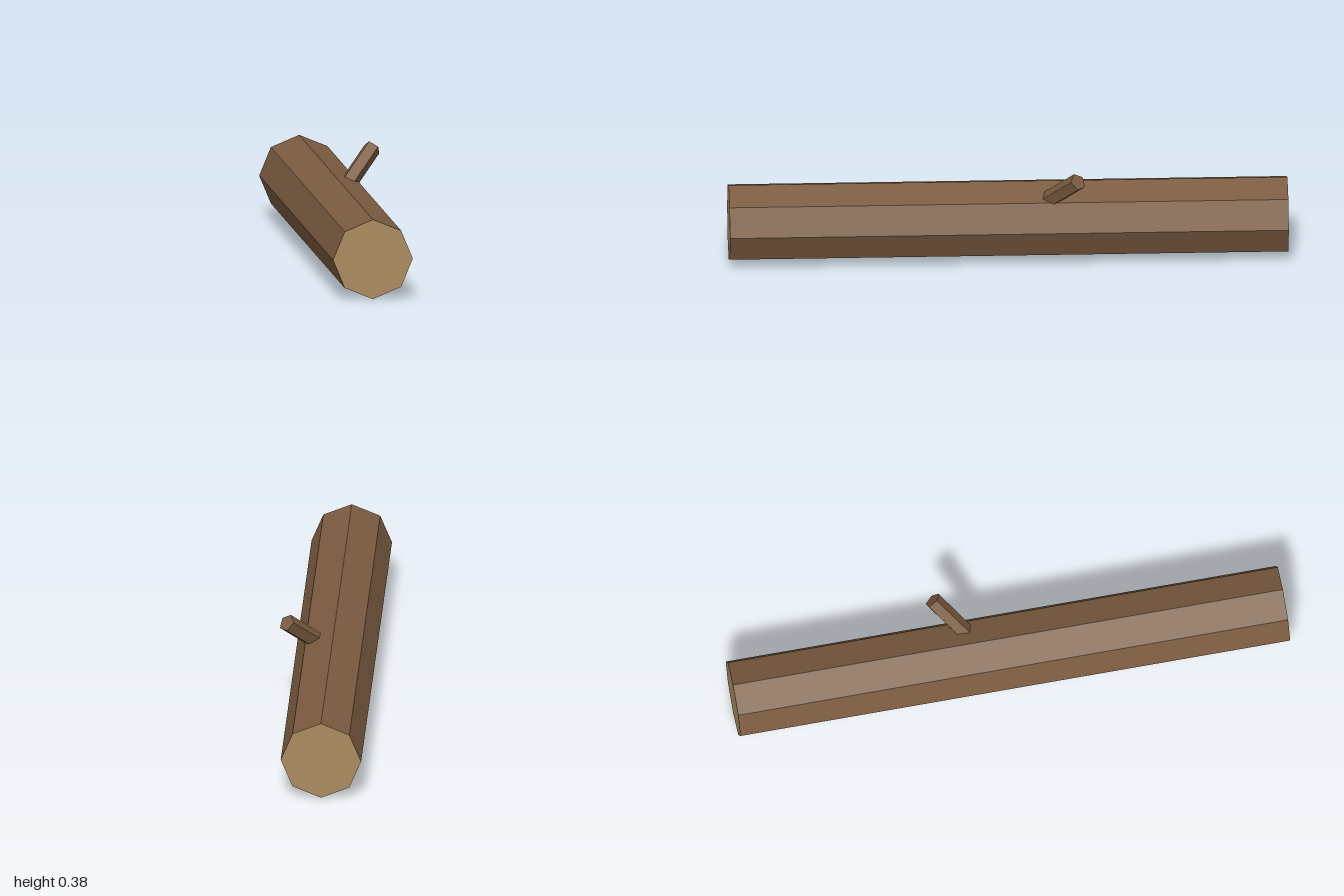
import * as THREE from 'three';

// Straight prism with faceted normals
function prism(radius, length, sides) {
  const g = new THREE.CylinderGeometry(radius, radius, length, sides).toNonIndexed();
  g.computeVertexNormals();
  return g;
}

export function createModel() {
  const bark = new THREE.MeshStandardMaterial({ color: 0x7b5c40 });
  bark.name = 'bark';
  const cutWood = new THREE.MeshStandardMaterial({ color: 0xab8c5f });
  cutWood.name = 'cutWood';

  const model = new THREE.Group();
  model.name = 'log';

  // Eight-sided trunk lying along z, with pale cut ends
  const trunk = new THREE.Mesh(prism(0.144, 2, 8), [bark, cutWood, cutWood]);
  trunk.name = 'trunk';
  trunk.rotation.x = Math.PI / 2;
  trunk.position.set(-0.022, 0.144, 0);
  model.add(trunk);

  // Five-sided branch stub, leaning up, left and back; its base is inside the trunk
  const length = 0.24;
  const along = new THREE.Vector3(0.558, 0.614, -0.558).normalize();
  const corner = new THREE.Vector3(0.553, 0.243, 0.796);
  corner.addScaledVector(along, -corner.dot(along)).normalize();
  const side = new THREE.Vector3().crossVectors(along, corner);
  const branch = new THREE.Mesh(prism(0.032, length, 5), bark);
  branch.name = 'branch';
  branch.quaternion.setFromRotationMatrix(new THREE.Matrix4().makeBasis(side, along, corner));
  branch.position.set(0.142, 0.354, -0.245).addScaledVector(along, -length / 2);
  model.add(branch);

  return model;
}
